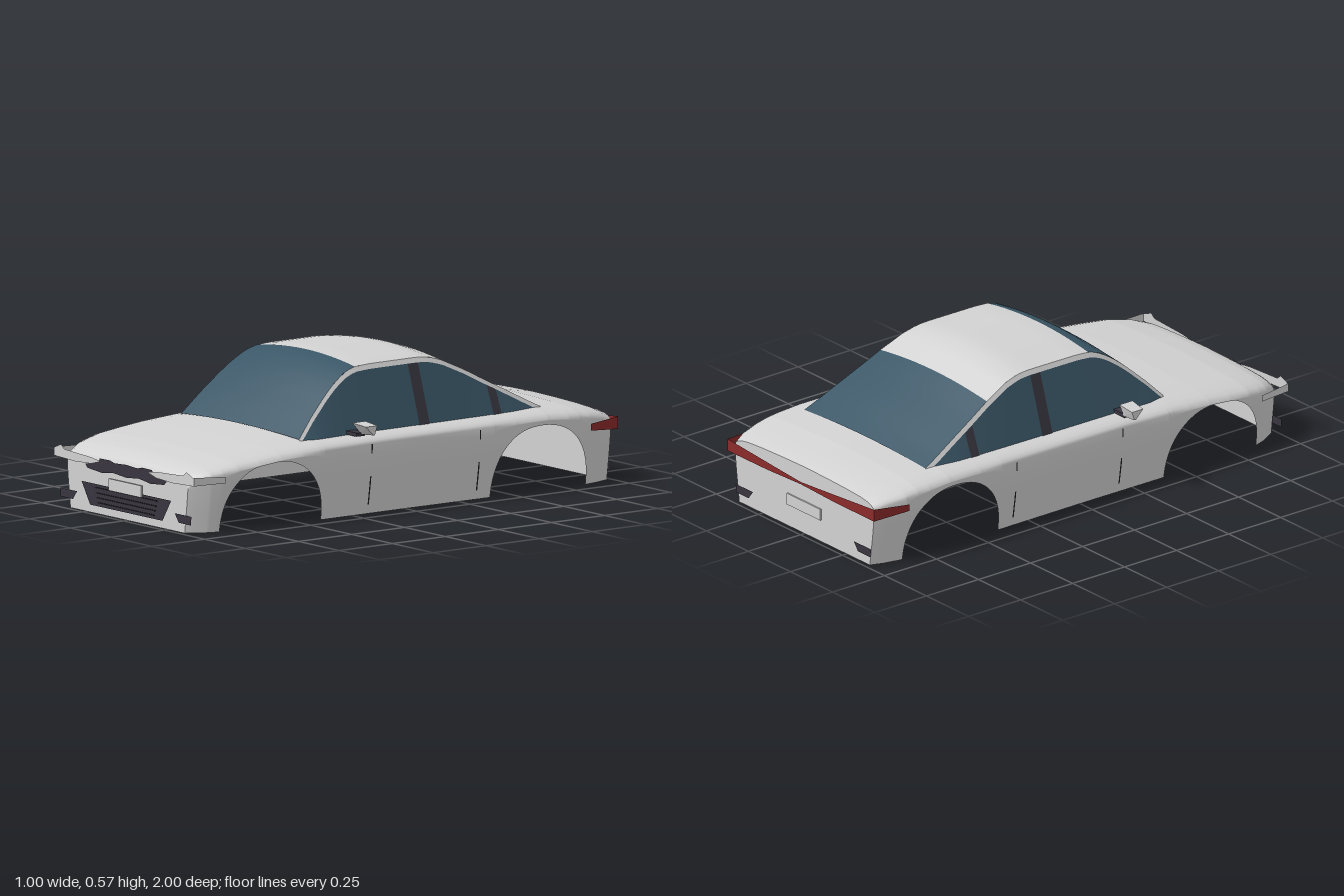
import * as THREE from 'three';

const mat = (name, color) => Object.assign(
  new THREE.MeshStandardMaterial({ color, side: THREE.DoubleSide }), { name });

// Piecewise-linear lookup in a list of [key, value] with falling keys
function lookup(table, k) {
  if (k >= table[0][0]) return table[0][1];
  for (let i = 1; i < table.length; i++) {
    const [a, va] = table[i - 1], [b, vb] = table[i];
    if (k >= b) return va + (vb - va) * (a - k) / (a - b);
  }
  return table[table.length - 1][1];
}

// Smooth surface through rows of points
function loft(rows) {
  const n = rows[0].length, index = [];
  for (let i = 0; i < rows.length - 1; i++) for (let j = 0; j < n - 1; j++) {
    const a = i * n + j, b = a + n;
    index.push(a, a + 1, b, a + 1, b + 1, b);
  }
  const g = new THREE.BufferGeometry();
  g.setAttribute('position', new THREE.Float32BufferAttribute(rows.flat(2), 3));
  g.setIndex(index);
  g.computeVertexNormals();
  return g;
}

const range = (a, b, n) => Array.from({ length: n + 1 }, (_, i) => a + (b - a) * i / n);

// Body: plan half-width and height of the centre line along z
const WIDTH = [[0.98, 0.375], [0.95, 0.395], [0.91, 0.418], [0.87, 0.433], [0.8, 0.447], [0.7, 0.455],
  [0.5, 0.459], [0, 0.456], [-0.5, 0.459], [-0.75, 0.459], [-0.86, 0.451], [-0.93, 0.434], [-0.98, 0.415]];
const TOP = [[0.98, 0.208], [0.972, 0.226], [0.95, 0.241], [0.9, 0.256], [0.8, 0.275], [0.6, 0.296],
  [0.42, 0.308], [0.2, 0.313], [-0.65, 0.317], [-0.8, 0.308], [-0.93, 0.287], [-0.98, 0.27]];
const SIDE = [[0.25, 1], [0.2, 0.996], [0.12, 0.975], [0, 0.935]];
const SHOULDER = [[0.985, 0.034], [0.955, 0.025], [0.9, 0.017], [0.8, 0.011], [0.6, 0.006], [0.3, 0.002], [0, 0]];
const ARCHES = [{ c: 0.63, r: 0.23, h: 0.248 }, { c: -0.625, r: 0.227, h: 0.254 }];

function archHeight(z) {
  for (const { c, r, h } of ARCHES) {
    const d = Math.abs(z - c) / r;
    if (d < 1) return h * Math.pow(1 - Math.pow(d, 2.3), 1 / 2.3);
  }
  return 0;
}

function bodySection(z) {
  const w = lookup(WIDTH, z), t = lookup(TOP, z), ys = t - 0.045;
  const b = Math.min(archHeight(z), ys - 0.002);
  const half = range(b, ys, 8).map(y => [w * lookup(SIDE, y), y, z]);
  for (const [f, drop] of SHOULDER) half.push([w * f, t - drop, z]);
  return [...half, ...half.slice(0, -1).reverse().map(([x, y]) => [-x, y, z])];
}

// Cabin: roof line, upper edge width and crown along z
const ROOF = [[0.45, 0.312], [0.38, 0.388], [0.3, 0.465], [0.25, 0.507], [0.2, 0.54], [0.17, 0.553], [0.14, 0.561],
  [0.08, 0.565], [-0.15, 0.566], [-0.2, 0.562], [-0.26, 0.545], [-0.36, 0.497], [-0.44, 0.452],
  [-0.55, 0.393], [-0.63, 0.349], [-0.69, 0.318]];
function cabinEdge(z) {
  const y = lookup(ROOF, z), k = (y - 0.31) / 0.255;
  return { y, w: 0.362 - 0.062 * k, drop: 0.012 + 0.013 * k, k };
}
function topRow(z) {
  const { y, w, drop } = cabinEdge(z);
  return range(1, -1, 12).map(f => [w * f, y - drop * f * f, z]);
}
function sidePoints(z) {
  const { y, w, drop, k } = cabinEdge(z);
  return {
    base: [0.372 + 0.016 * Math.min(1, k * 3), 0.285, z],
    rail: [w + 0.01, Math.max(0.286, y - drop - 0.018), z],
    edge: [w, y - drop, z],
  };
}

export function createModel() {
  const car = new THREE.Group();
  car.name = 'carBody';
  const paint = mat('silver paint', 0xd2d2d2);
  const glass = mat('tinted glass', 0x3a5666);
  const dark = mat('dark trim', 0x38353f);
  const black = mat('black gaps', 0x1c1b20);
  const red = mat('red lamp', 0x8c2a2c);

  const add = (name, geometry, material) => {
    const m = new THREE.Mesh(geometry, material);
    m.name = name;
    car.add(m);
    return m;
  };
  // Flat outline in the xy plane
  const plate = (name, pts, z, material) => {
    const g = new THREE.ShapeGeometry(new THREE.Shape(pts.map(p => new THREE.Vector2(...p))));
    if (z < 0) g.rotateY(Math.PI);
    add(name, g.translate(0, 0, z), material);
  };
  const box = (name, w, h, d, x, y, z, material) =>
    add(name, new THREE.BoxGeometry(w, h, d).translate(x, y, z), material);
  const mirrored = pts => [...pts, ...pts.map(([x, y]) => [-x, y]).reverse()];

  // Lower shell, with extra sections around the wheel arches
  const zs = [...TOP.map(p => p[0]), ...WIDTH.map(p => p[0])];
  for (const { c, r } of ARCHES) for (let k = 0; k <= 28; k++) zs.push(c + r * Math.cos(k * Math.PI / 28));
  const stations = [...new Set(zs.map(z => +z.toFixed(4)))].sort((a, b) => b - a);
  add('shell', loft(stations.map(bodySection)), paint);
  for (const [name, z] of [['frontPanel', 0.98], ['rearPanel', -0.98]])
    plate(name, bodySection(z).map(([x, y]) => [x, y]), z, paint);

  // Windscreen, roof and rear window
  add('windscreen', loft(range(0.45, 0.14, 16).map(topRow)), glass);
  add('roof', loft(range(0.14, -0.36, 20).map(topRow)), paint);
  add('rearWindow', loft(range(-0.36, -0.69, 12).map(topRow)), glass);

  // Nose: grilles and number plate
  plate('upperGrille', mirrored([[0, 0.212], [0.07, 0.208], [0.1, 0.215], [0.16, 0.214], [0.165, 0.205], [0.2, 0.202],
    [0.21, 0.19], [0.25, 0.182], [0.235, 0.168], [0.15, 0.161], [0.08, 0.17], [0, 0.163]]), 0.988, dark);
  plate('lowerGrille', mirrored([[0.275, 0.113], [0.222, 0.03]]), 0.986, dark);
  [0.1, 0.08, 0.062, 0.044].forEach((y, i) =>
    box('grilleSlot', 0.38 - i * 0.012, 0.004, 0.004, 0, y, 0.987, black));
  box('frontNumberPlate', 0.2, 0.045, 0.006, 0, 0.124, 0.99, paint);
  box('rearNumberPlate', 0.2, 0.045, 0.006, 0, 0.11, -0.983, paint);

  // Tail lamp band across the back
  plate('tailLampBand', mirrored([[0, 0.214], [0.12, 0.222], [0.435, 0.245], [0.435, 0.197], [0.2, 0.198], [0, 0.205]]),
    -0.998, red);

  for (const s of [1, -1]) {
    const side = s > 0 ? 'left' : 'right';
    const flip = ([x, y, z]) => [x * s, y, z];
    const wall = (name, z0, z1, n, a, b, out, material) => add(side + name, loft(range(z0, z1, n).map(z => {
      const p = sidePoints(z);
      return [p[a], p[b]].map(([x, y, zz]) => flip([x + out, y, zz]));
    })), material);

    // Side glass, roof rail and window pillars
    wall('SideWindow', 0.45, -0.69, 48, 'base', 'rail', 0, glass);
    wall('RoofRail', 0.45, -0.69, 48, 'rail', 'edge', 0, paint);
    wall('MiddlePillar', -0.1, -0.148, 2, 'base', 'rail', 0.003, dark);
    wall('RearPillar', -0.45, -0.488, 2, 'base', 'rail', 0.003, dark);

    // Door gaps
    for (const z of [0.18, -0.33]) for (const [y0, y1] of [[0.035, 0.145], [0.232, 0.268]]) {
      const at = y => lookup(WIDTH, z) * lookup(SIDE, y) + 0.002;
      add(side + 'DoorGap', loft([z + 0.003, z - 0.003].map(zz =>
        range(y0, y1, 4).map(y => flip([at(y), y, zz])))), black);
    }

    // Wrap-around head lamp
    plate(side + 'HeadLamp', [[0.14, 0.206], [0.2, 0.19], [0.3, 0.185], [0.43, 0.19], [0.43, 0.22], [0.385, 0.238],
      [0.365, 0.222], [0.2, 0.214]].map(([x, y]) => [x * s, y]), 0.998, paint);
    add(side + 'HeadLampSide', loft([
      [[0.43, 0.19, 0.998], [0.43, 0.222, 0.998]],
      [[0.444, 0.19, 0.86], [0.444, 0.214, 0.86]]].map(r => r.map(flip))), paint);

    // Tail lamp return along the flank
    add(side + 'TailLampSide', loft([
      [[0.435, 0.197, -0.998], [0.435, 0.245, -0.998]],
      [[0.462, 0.21, -0.85], [0.462, 0.236, -0.85]]].map(r => r.map(flip))), red);

    // Fog lamp recesses
    const fog = [[0.3, 0.07], [0.402, 0.07], [0.4, 0.037], [0.325, 0.037]].map(([x, y]) => [x * s, y]);
    plate(side + 'FrontFogLamp', fog, 0.988, dark);
    plate(side + 'RearFogLamp', fog, -0.986, dark);

    // Door mirror: arm and tapered housing
    box(side + 'MirrorArm', 0.075, 0.014, 0.04, 0.405 * s, 0.307, 0.22, dark);
    const housing = new THREE.BoxGeometry(0.07, 0.045, 0.05);
    const p = housing.attributes.position;
    for (let i = 0; i < p.count; i++) {
      const outer = p.getX(i) * s > 0, low = p.getY(i) < 0, front = p.getZ(i) > 0;
      p.setXYZ(i, s * (outer ? 0.502 : low ? 0.438 : 0.428),
        low ? (outer ? 0.31 : 0.306) : (outer ? 0.345 : 0.352),
        front ? (low ? 0.215 : 0.25) - (outer ? 0.008 : 0) : (low ? 0.2 : 0.188));
    }
    const flat = housing.toNonIndexed();
    flat.computeVertexNormals();
    add(side + 'MirrorHousing', flat, paint);
  }
  return car;
}
